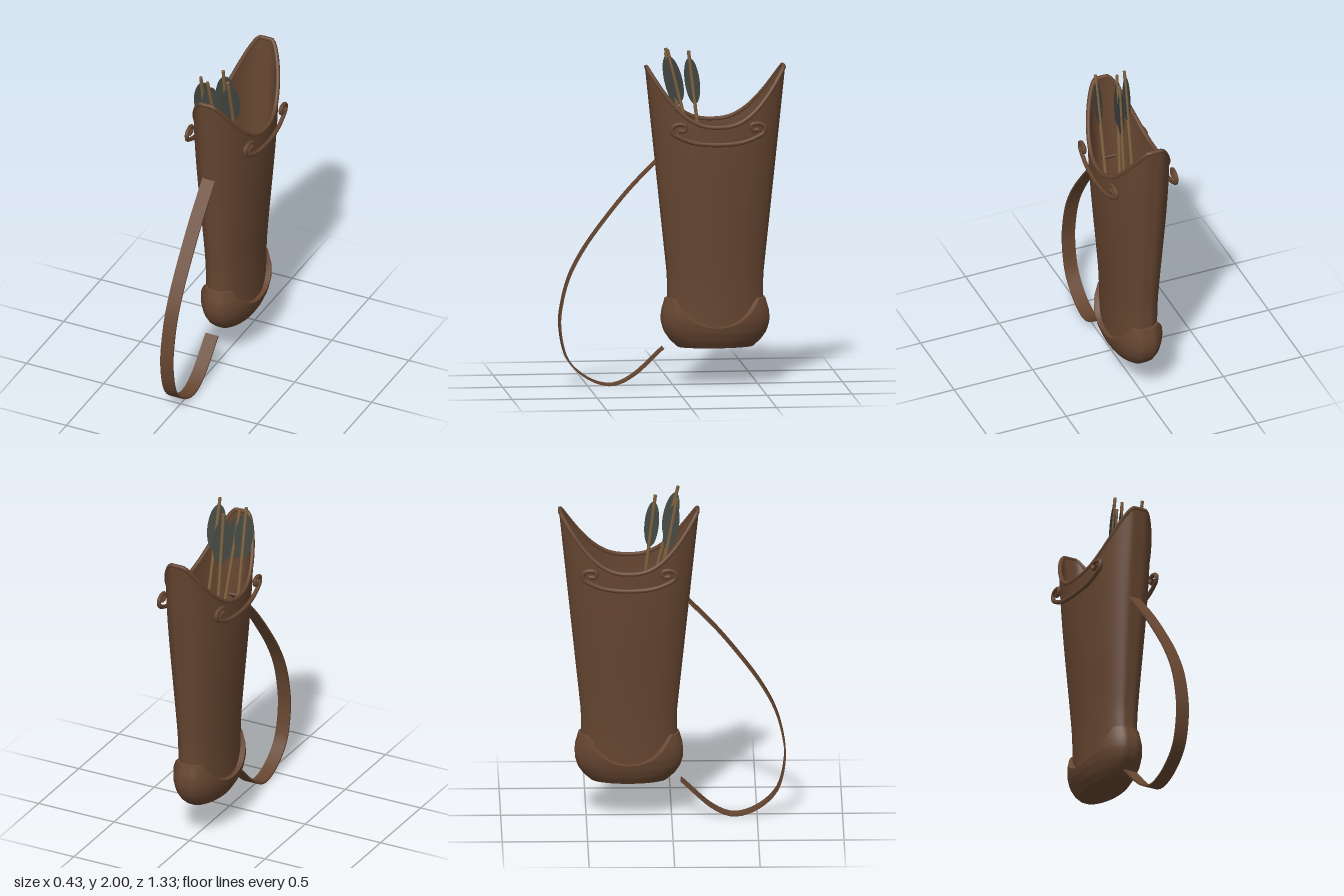
import * as THREE from 'three';

const leather = new THREE.MeshStandardMaterial({ color: 0x654530, side: THREE.DoubleSide });
leather.name = 'brown leather';
const wood = new THREE.MeshStandardMaterial({ color: 0x80623f });
wood.name = 'arrow wood';
const feather = new THREE.MeshStandardMaterial({ color: 0x454a44, side: THREE.DoubleSide });
feather.name = 'grey feather';

const CZ = -0.25; // centre of the quiver in z
const N = 64; // points around a cross-section

const add = (parent, name, geometry, material) => {
  const mesh = new THREE.Mesh(geometry, material);
  mesh.name = name;
  parent.add(mesh);
  return mesh;
};

// Point on an oval cross-section with slightly flattened ends
const oval = (a, hx, hz, y) => {
  const c = THREE.MathUtils.clamp(Math.cos(a) * 1.025, -1, 1);
  return new THREE.Vector3(hx * Math.sin(a), y, CZ + hz * c);
};

// Joins closed rings of points; each row is a function of the angle
function loft(rows) {
  const pos = [], idx = [];
  rows.forEach((row, i) => {
    for (let j = 0; j < N; j++) {
      pos.push(...row((j / N) * Math.PI * 2).toArray());
      if (i === rows.length - 1) continue;
      const a = i * N + j, b = i * N + ((j + 1) % N);
      idx.push(a, b, a + N, b, b + N, a + N);
    }
  });
  const g = new THREE.BufferGeometry();
  g.setAttribute('position', new THREE.Float32BufferAttribute(pos, 3));
  g.setIndex(idx);
  g.computeVertexNormals();
  return g;
}

const range = (n) => Array.from({ length: n + 1 }, (_, i) => i / n);

// Body half-widths by height, and the swooping mouth line
const bodyX = (y) => 0.137 + 0.063 * THREE.MathUtils.smoothstep(y, 0.4, 1.6);
const bodyZ = (y) => Math.max(0.28, 0.27 + 0.104 * (y - 0.55));
const mouthY = (a) => 1.545 + 0.335 * Math.min(1, Math.abs(Math.cos(a)) * 1.025) ** 2.5;
const bodyRow = (t, y0, inset) => (a) => {
  const y = THREE.MathUtils.lerp(y0, mouthY(a), t);
  return oval(a, bodyX(y) - inset, bodyZ(y) - inset, y);
};

// Cup half-widths by height: [y, hx, hz]
const cupProfile = [
  [0.23, 0.11, 0.22], [0.27, 0.135, 0.265], [0.32, 0.155, 0.3],
  [0.38, 0.167, 0.317], [0.44, 0.167, 0.315], [0.52, 0.155, 0.292],
];
function cupSize(y) {
  let i = 0;
  while (i < cupProfile.length - 2 && y > cupProfile[i + 1][0]) i++;
  const [p, q] = [cupProfile[i], cupProfile[i + 1]];
  const t = (y - p[0]) / (q[0] - p[0]);
  return [THREE.MathUtils.lerp(p[1], q[1], t), THREE.MathUtils.lerp(p[2], q[2], t)];
}
const cupTop = (a) => 0.355 + 0.163 * Math.min(1, Math.abs(Math.cos(a)) / 0.82) ** 2.4;

function makeQuiver() {
  const g = new THREE.Group();
  g.name = 'quiver';
  add(g, 'outerWall', loft(range(24).map((t) => bodyRow(t, 0.34, 0))), leather);

  // Inner wall runs down into a rounded floor
  const inner = range(24).map((t) => bodyRow(1 - t, 0.46, 0.016));
  for (const [s, y] of [[0.96, 0.41], [0.86, 0.36], [0.7, 0.335], [0, 0.325]])
    inner.push((a) => oval(a, 0.121 * s, 0.264 * s, y));
  add(g, 'innerLining', loft(inner), leather);

  const edge = range(N).slice(0, N).map((t) => bodyRow(1, 0.34, 0.007)(t * Math.PI * 2));
  const rim = new THREE.CatmullRomCurve3(edge, true);
  add(g, 'mouthRim', new THREE.TubeGeometry(rim, 128, 0.013, 8, true), leather);
  return g;
}

function makeCup() {
  const g = new THREE.Group();
  g.name = 'bottomCup';
  const side = range(14).map((t) => (a) => {
    const y = THREE.MathUtils.lerp(0.23, cupTop(a), t);
    return oval(a, ...cupSize(y), y);
  });
  add(g, 'cupWall', loft(side), leather);
  const lip = (a) => {
    const y = cupTop(a);
    return oval(a, bodyX(y) - 0.006, bodyZ(y) - 0.006, y + 0.004);
  };
  add(g, 'cupLip', loft([side[14], lip]), leather);
  add(g, 'cupBase', loft([(a) => oval(a, 0, 0, 0.23), side[0]]), leather);
  return g;
}

// Flat band bent along a path in the z-y plane
function makeStrap() {
  const path = new THREE.CatmullRomCurve3([
    [0.05, 1.375], [0.1, 1.325], [0.25, 1.17], [0.39, 1.0], [0.52, 0.82], [0.605, 0.66],
    [0.65, 0.5], [0.663, 0.36], [0.615, 0.16], [0.49, 0.045], [0.36, 0.01],
    [0.245, 0.055], [0.055, 0.225],
  ].map(([z, y]) => new THREE.Vector3(0, y, z)));
  const g = new THREE.BoxGeometry(0.082, 0.01, 1, 1, 1, 64);
  const p = g.attributes.position;
  for (let i = 0; i < p.count; i++) {
    const t = THREE.MathUtils.clamp(p.getZ(i) + 0.5, 0, 1);
    const c = path.getPointAt(t), d = path.getTangentAt(t), h = p.getY(i);
    p.setXYZ(i, p.getX(i) - 0.01, c.y + d.z * h, c.z - d.y * h);
  }
  g.computeVertexNormals();
  return g;
}

// Side bar with a curled hook at each end
function makeHandle(side) {
  const half = [
    [0.235, 1.53], [0.2, 1.53], [0.195, 1.56], [0.24, 1.567], [0.272, 1.548],
    [0.268, 1.515], [0.22, 1.485], [0.14, 1.457],
  ];
  const all = [...half, [0, 1.445], ...half.map(([z, y]) => [-z, y]).reverse()];
  const pts = all.map(([z, y]) => new THREE.Vector3(side * (0.202 - 0.17 * z * z), y, CZ + z));
  return new THREE.TubeGeometry(new THREE.CatmullRomCurve3(pts), 120, 0.013, 8);
}

function makeArrow(tip, end) {
  const g = new THREE.Group();
  g.name = 'arrow';
  const top = new THREE.Vector3(...tip), bottom = new THREE.Vector3(...end);
  const dir = top.clone().sub(bottom), length = dir.length();
  g.position.copy(top);
  g.quaternion.setFromUnitVectors(new THREE.Vector3(0, 1, 0), dir.normalize());
  add(g, 'shaft', new THREE.CylinderGeometry(0.01, 0.01, length, 8), wood).position.y = -length / 2;
  const vane = add(g, 'fletching', new THREE.CircleGeometry(1, 28), feather);
  vane.scale.set(0.057, 0.138, 1);
  vane.rotation.y = Math.PI / 4;
  vane.position.y = -0.18;
  return g;
}

export function createModel() {
  const model = new THREE.Group();
  model.name = 'arrowQuiver';
  model.add(makeQuiver(), makeCup());
  add(model, 'strap', makeStrap(), leather);
  add(model, 'leftHandle', makeHandle(1), leather);
  add(model, 'rightHandle', makeHandle(-1), leather);
  for (const [tip, end] of [
    [[-0.095, 1.98, 0.03], [-0.095, 0.36, -0.27]],
    [[-0.05, 1.96, 0.035], [0.05, 0.36, -0.31]],
    [[-0.01, 1.975, -0.095], [-0.01, 0.36, -0.29]],
    [[0.085, 1.998, 0.04], [0.085, 0.38, -0.36]],
  ]) model.add(makeArrow(tip, end));
  return model;
}
